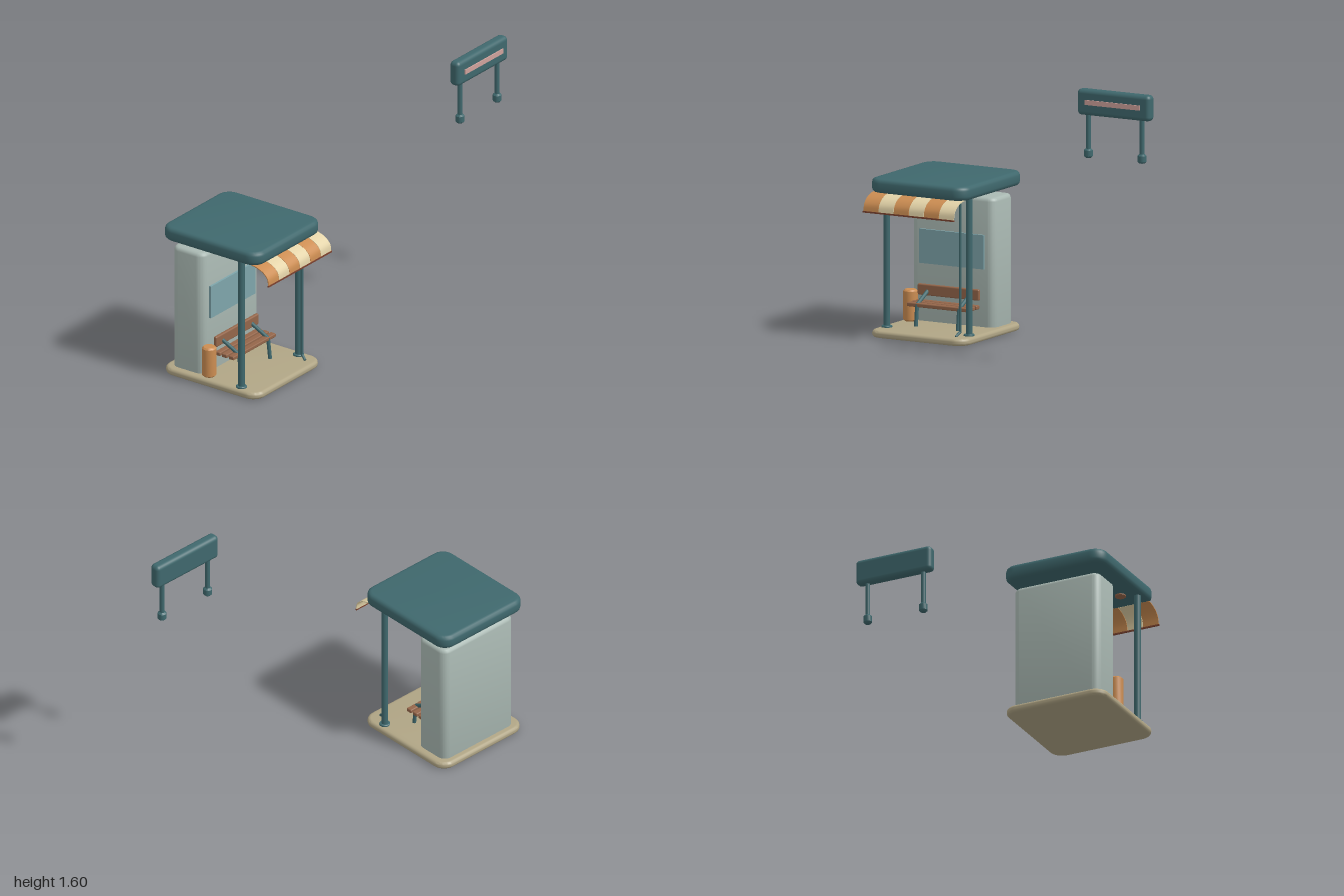
import * as THREE from 'three';
import { toCreasedNormals } from 'three/addons/utils/BufferGeometryUtils.js';
import { RoundedBoxGeometry } from 'three/addons/geometries/RoundedBoxGeometry.js';

const mat = (name, color, side = THREE.FrontSide) => {
  const m = new THREE.MeshStandardMaterial({ color, side });
  m.name = name;
  return m;
};

export function createModel() {
  const root = new THREE.Group();
  root.name = 'busShelter';

  const teal = mat('teal', 0x3f686d);
  const stone = mat('sand stone', 0xb0a585);
  const grey = mat('grey wall', 0xa9b8b2);
  const glass = mat('blue glass', 0x7ea5ab);
  const orange = mat('orange', 0xcc8d52);
  const cream = mat('cream', 0xe3d3a8);
  const wood = mat('wood', 0x94664a);
  const trim = mat('red brown trim', 0x7d4330);
  const pink = mat('pink', 0xcfa29c);

  const add = (name, geo, material, x = 0, y = 0, z = 0, parent = root) => {
    const m = new THREE.Mesh(geo, material);
    m.name = name;
    m.position.set(x, y, z);
    parent.add(m);
    return m;
  };

  // Horizontal slab with rounded plan corners and softened top and bottom edges
  const slab = (w, h, d, r, bevel) => {
    const a = w / 2 - bevel, b = d / 2 - bevel, c = r - bevel;
    const s = new THREE.Shape();
    s.moveTo(-a + c, -b);
    s.absarc(a - c, -b + c, c, -Math.PI / 2, 0);
    s.absarc(a - c, b - c, c, 0, Math.PI / 2);
    s.absarc(-a + c, b - c, c, Math.PI / 2, Math.PI);
    s.absarc(-a + c, -b + c, c, Math.PI, Math.PI * 1.5);
    const g = new THREE.ExtrudeGeometry(s, {
      depth: h - 2 * bevel, bevelEnabled: true, bevelThickness: bevel,
      bevelSize: bevel, bevelSegments: 3, curveSegments: 6,
    });
    g.translate(0, 0, -h / 2 + bevel).rotateX(-Math.PI / 2);
    return toCreasedNormals(g, 0.7);
  };

  // Upright with softened ends, turned around y from y0 to y1
  const turned = (r, y0, y1, bevel, sides = 20) => {
    const p = [[0, y0], [r - bevel, y0], [r, y0 + bevel], [r, y1 - bevel], [r - bevel, y1], [0, y1]];
    const g = new THREE.LatheGeometry(p.map(([x, y]) => new THREE.Vector2(x, y)), sides);
    return toCreasedNormals(g, 0.6);
  };

  // Bent rod with capped ends along straight pieces
  const rod = (name, points, r, material, parent) => {
    const v = points.map((p) => new THREE.Vector3(...p));
    for (let i = 0; i < v.length - 1; i++) {
      const dir = v[i + 1].clone().sub(v[i]);
      const m = add(name, new THREE.CylinderGeometry(r, r, dir.length(), 12), material, 0, 0, 0, parent);
      m.position.copy(v[i]).addScaledVector(dir, 0.5);
      m.quaternion.setFromUnitVectors(new THREE.Vector3(0, 1, 0), dir.normalize());
      if (i > 0) add(name + 'Joint', new THREE.SphereGeometry(r, 12, 8), material, ...points[i], parent);
    }
  };

  const cx = -0.685;

  // Main masses
  add('base', slab(0.63, 0.042, 0.67, 0.08, 0.018), stone, cx, 0.023, -0.136);
  add('roof', slab(0.63, 0.08, 0.68, 0.08, 0.024), teal, cx, 0.868, -0.139);
  add('backBlock', slab(0.54, 0.775, 0.222, 0.05, 0.022), grey, cx, 0.393, -0.32);
  add('windowPanel', new THREE.BoxGeometry(0.418, 0.195, 0.016), glass, cx, 0.472, -0.204);

  // Front posts with foot plates, and ceiling lamps
  for (const s of [-1, 1]) {
    const x = cx + s * 0.268;
    add('post', new THREE.CylinderGeometry(0.019, 0.019, 0.795, 16), teal, x, 0.44, 0.06);
    add('postFoot', turned(0.031, 0.04, 0.054, 0.004), teal, x, 0, 0.06);
    add('ceilingLamp', turned(0.032, 0.818, 0.835, 0.004), wood, cx + s * 0.185, 0, 0.012);
  }

  // Thin drain pipe with a bent outlet
  rod('drainPipe', [[-0.447, 0.835, 0.107], [-0.447, 0.07, 0.107], [-0.458, 0.046, 0.137]], 0.008, teal, root);

  // Striped awning: a thin curved sheet, cut into six bands
  const awning = new THREE.Group();
  awning.name = 'awning';
  root.add(awning);
  const curve = new THREE.SplineCurve([
    [0.15, 0.832], [0.19, 0.825], [0.235, 0.805], [0.264, 0.773], [0.271, 0.735],
  ].map(([z, y]) => new THREE.Vector2(z, y)));
  const outer = curve.getPoints(14);
  const inner = outer.map((p, i) => {
    const t = curve.getTangent(i / 14);
    return new THREE.Vector2(p.x + t.y * 0.005, p.y - t.x * 0.005);
  });
  const profile = new THREE.Shape([...outer, ...inner.reverse()]);
  const band = 0.589 / 6;
  for (let i = 0; i < 6; i++) {
    const g = new THREE.ExtrudeGeometry(profile, { depth: band - 0.002, bevelEnabled: false });
    g.rotateY(-Math.PI / 2);
    add('awningStripe', toCreasedNormals(g, 0.6), i % 2 ? cream : orange, -0.982 + (i + 1) * band, 0, 0, awning);
  }
  add('awningTrim', new THREE.BoxGeometry(0.592, 0.009, 0.008), trim, -0.688, 0.731, 0.27, awning);

  // Litter bin beside the bench
  add('bin', turned(0.041, 0.044, 0.224, 0.009, 24), orange, -0.938, 0, -0.176);

  // Bench: slats, back board and bent rod frames
  const bench = new THREE.Group();
  bench.name = 'bench';
  root.add(bench);
  for (const z of [-0.062, -0.11, -0.157])
    add('seatSlat', new RoundedBoxGeometry(0.4, 0.023, 0.036, 2, 0.006), wood, -0.687, 0.163, z, bench);
  add('backBoard', new RoundedBoxGeometry(0.4, 0.064, 0.022, 2, 0.008), wood, -0.687, 0.231, -0.174, bench);
  for (const x of [-0.823, -0.55])
    rod('benchFrame', [[x, 0.043, -0.04], [x, 0.165, -0.054], [x, 0.226, -0.172]], 0.011, teal, bench);

  // Raised sign board on two legs
  const sign = new THREE.Group();
  sign.name = 'sign';
  root.add(sign);
  add('signBoard', new RoundedBoxGeometry(0.473, 0.148, 0.066, 3, 0.024), teal, 0.762, 1.53, 0.441, sign);
  add('signStripe', new THREE.BoxGeometry(0.358, 0.028, 0.009), pink, 0.761, 1.532, 0.4765, sign);
  for (const x of [0.585, 0.934]) {
    add('signLeg', new THREE.CylinderGeometry(0.014, 0.014, 0.25, 14), teal, x, 1.36, 0.441, sign);
    add('signFoot', turned(0.025, 1.212, 1.264, 0.009), teal, x, 0, 0.441, sign);
  }

  return root;
}
